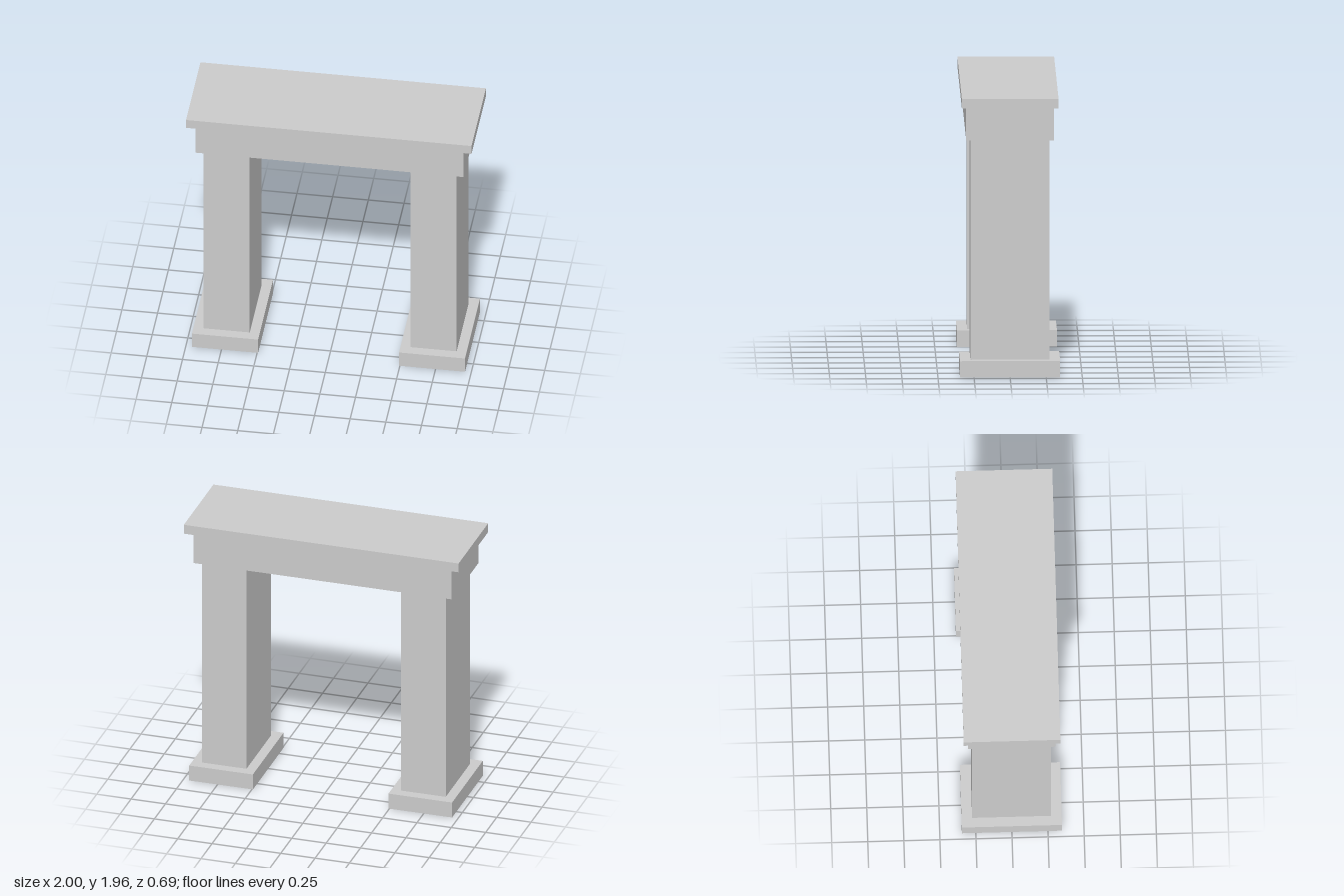
import * as THREE from 'three';

const material = new THREE.MeshStandardMaterial({ color: 0xcccccc, flatShading: true });

// Box centred on z = 0, spanning the heights bottom to top
function block(name, x, bottom, top, width, depth) {
  const mesh = new THREE.Mesh(new THREE.BoxGeometry(width, top - bottom, depth), material);
  mesh.name = name;
  mesh.position.set(x, (bottom + top) / 2, 0);
  return mesh;
}

export function createModel() {
  const gate = new THREE.Group();
  gate.name = 'gateway';

  // Two pillars, each standing on a wider plinth
  for (const [side, sign] of [['left', 1], ['right', -1]]) {
    const x = sign * 0.725;
    gate.add(
      block(side + 'Plinth', x, 0, 0.115, 0.463, 0.694),
      block(side + 'Pillar', x, 0.115, 1.658, 0.324, 0.548)
    );
  }

  // Lintel across the pillars, with an overhanging cap slab
  gate.add(
    block('lintel', 0, 1.658, 1.89, 1.88, 0.608),
    block('capSlab', 0, 1.89, 1.958, 2, 0.67)
  );
  return gate;
}
